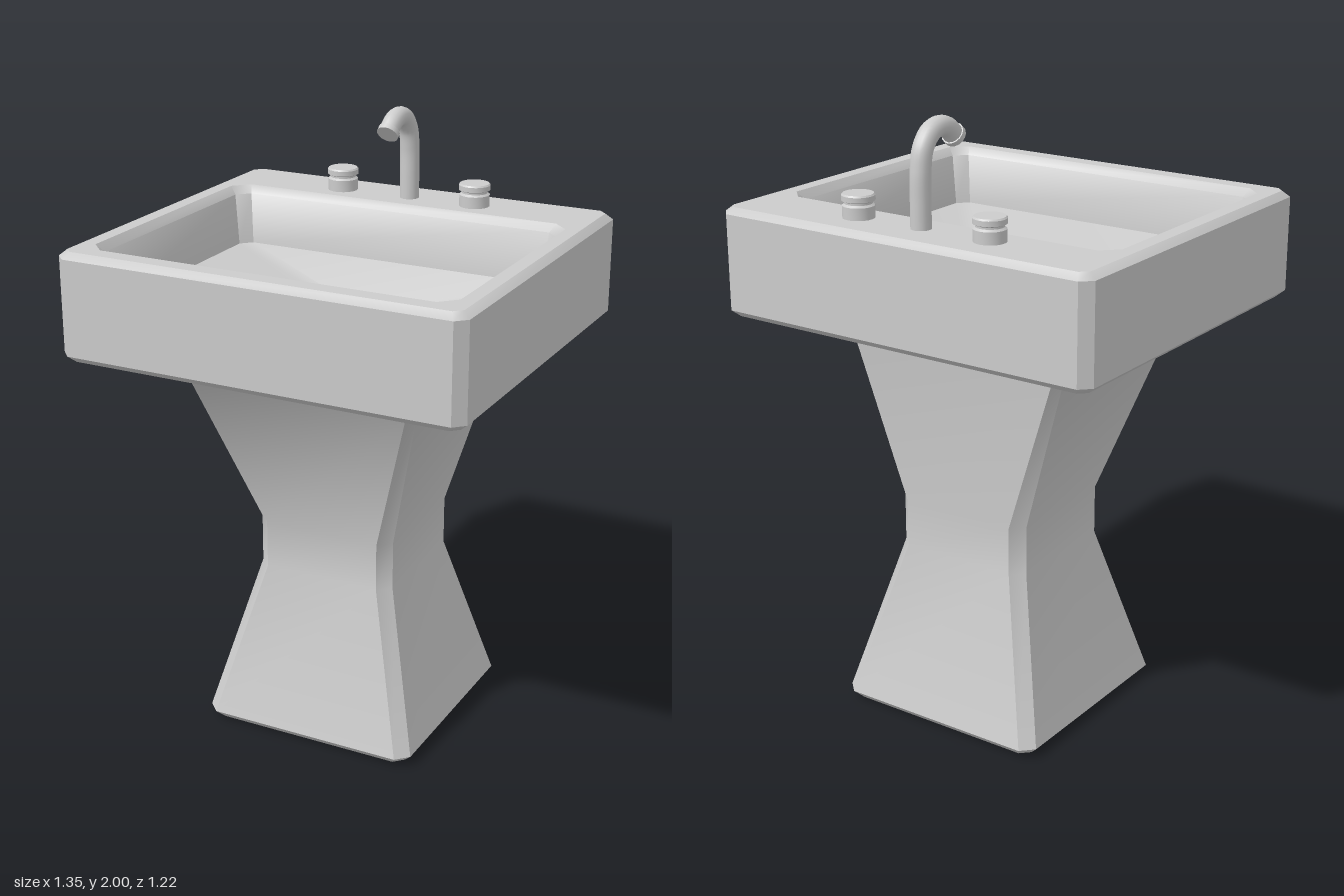
import * as THREE from 'three';
import { toCreasedNormals } from 'three/addons/utils/BufferGeometryUtils.js';

const grey = new THREE.MeshStandardMaterial({ color: 0xcccccc });

// Corner-cut rectangle at height y: half width, back z, front z, corner cut
function ring([y, hx, zb, zf, c]) {
  return [
    [hx, y, zf - c], [hx, y, zb + c], [hx - c, y, zb], [-hx + c, y, zb],
    [-hx, y, zb + c], [-hx, y, zf - c], [-hx + c, y, zf], [hx - c, y, zf],
  ];
}

// Skin a list of rings, capping the first (facing down) and optionally the last (facing up)
function loft(sections, capEnd) {
  const n = 8;
  const pos = sections.flatMap(ring).flat();
  const index = [];
  for (let s = 0; s < sections.length - 1; s++) {
    for (let i = 0; i < n; i++) {
      const j = (i + 1) % n;
      const a = s * n + i, b = s * n + j, c = b + n, d = a + n;
      index.push(a, b, c, a, c, d);
    }
  }
  const cap = (s, up) => {
    const [y, , zb, zf] = sections[s];
    const centre = pos.length / 3;
    pos.push(0, y, (zb + zf) / 2);
    for (let i = 0; i < n; i++) {
      const a = s * n + i, b = s * n + ((i + 1) % n);
      index.push(centre, up ? a : b, up ? b : a);
    }
  };
  cap(0, false);
  if (capEnd) cap(sections.length - 1, true);
  const g = new THREE.BufferGeometry();
  g.setAttribute('position', new THREE.Float32BufferAttribute(pos, 3));
  g.setIndex(index);
  return toCreasedNormals(g, 0.65);
}

export function createModel() {
  const model = new THREE.Group();
  const add = (name, geometry, x = 0, y = 0, z = 0) => {
    const mesh = new THREE.Mesh(geometry, grey);
    mesh.name = name;
    mesh.position.set(x, y, z);
    model.add(mesh);
    return mesh;
  };

  // Waisted pedestal flaring out under the basin
  add('pedestal', loft([
    [0, 0.345, -0.415, 0.28, 0.03],
    [0.03, 0.375, -0.445, 0.31, 0.04],
    [0.55, 0.24, -0.305, 0.175, 0.04],
    [0.71, 0.24, -0.305, 0.175, 0.04],
    [1.22, 0.395, -0.33, 0.335, 0.025],
    [1.25, 0.425, -0.335, 0.37, 0.025],
    [1.31, 0.54, -0.345, 0.485, 0.03],
    [1.335, 0.585, -0.37, 0.53, 0.03],
  ], false));

  // Basin: outside, rim, inner walls and floor sloping to the drain
  add('basin', loft([
    [1.33, 0.65, -0.585, 0.588, 0.025],
    [1.352, 0.675, -0.61, 0.613, 0.034],
    [1.66, 0.675, -0.61, 0.613, 0.034],
    [1.68, 0.652, -0.588, 0.59, 0.025],
    [1.68, 0.605, -0.375, 0.535, 0.05],
    [1.655, 0.582, -0.352, 0.512, 0.04],
    [1.49, 0.56, -0.33, 0.495, 0.035],
    [1.36, 0.06, -0.18, -0.06, 0.03],
  ], true));

  // Five-sided drain plug
  add('drain', new THREE.CylinderGeometry(0.045, 0.053, 0.025, 5).toNonIndexed(), 0, 1.37, -0.12)
    .rotation.y = Math.PI;
  model.getObjectByName('drain').geometry.computeVertexNormals();

  // Swan-neck spout
  const path = new THREE.CatmullRomCurve3([
    [1.67, -0.465], [1.76, -0.465], [1.85, -0.463], [1.915, -0.45],
    [1.957, -0.413], [1.967, -0.37], [1.957, -0.333], [1.93, -0.3],
  ].map(([y, z]) => new THREE.Vector3(0, y, z)));
  add('spout', new THREE.TubeGeometry(path, 40, 0.032, 16));

  // Collar closing the outlet
  const outlet = add('spoutOutlet', new THREE.CylinderGeometry(0.036, 0.036, 0.018, 16));
  outlet.position.copy(path.getPoint(1));
  outlet.quaternion.setFromUnitVectors(new THREE.Vector3(0, 1, 0), path.getTangent(1));

  // Tap knobs with a grooved waist
  const knobProfile = [
    [0, 0], [0.05, 0], [0.05, 0.038], [0.043, 0.044],
    [0.043, 0.05], [0.052, 0.054], [0.052, 0.07], [0.048, 0.075], [0, 0.075],
  ].map(([r, y]) => new THREE.Vector2(r, y));
  const knob = toCreasedNormals(new THREE.LatheGeometry(knobProfile, 24), 0.5);
  add('leftKnob', knob, 0.235, 1.68, -0.465);
  add('rightKnob', knob, -0.248, 1.68, -0.465);

  return model;
}
